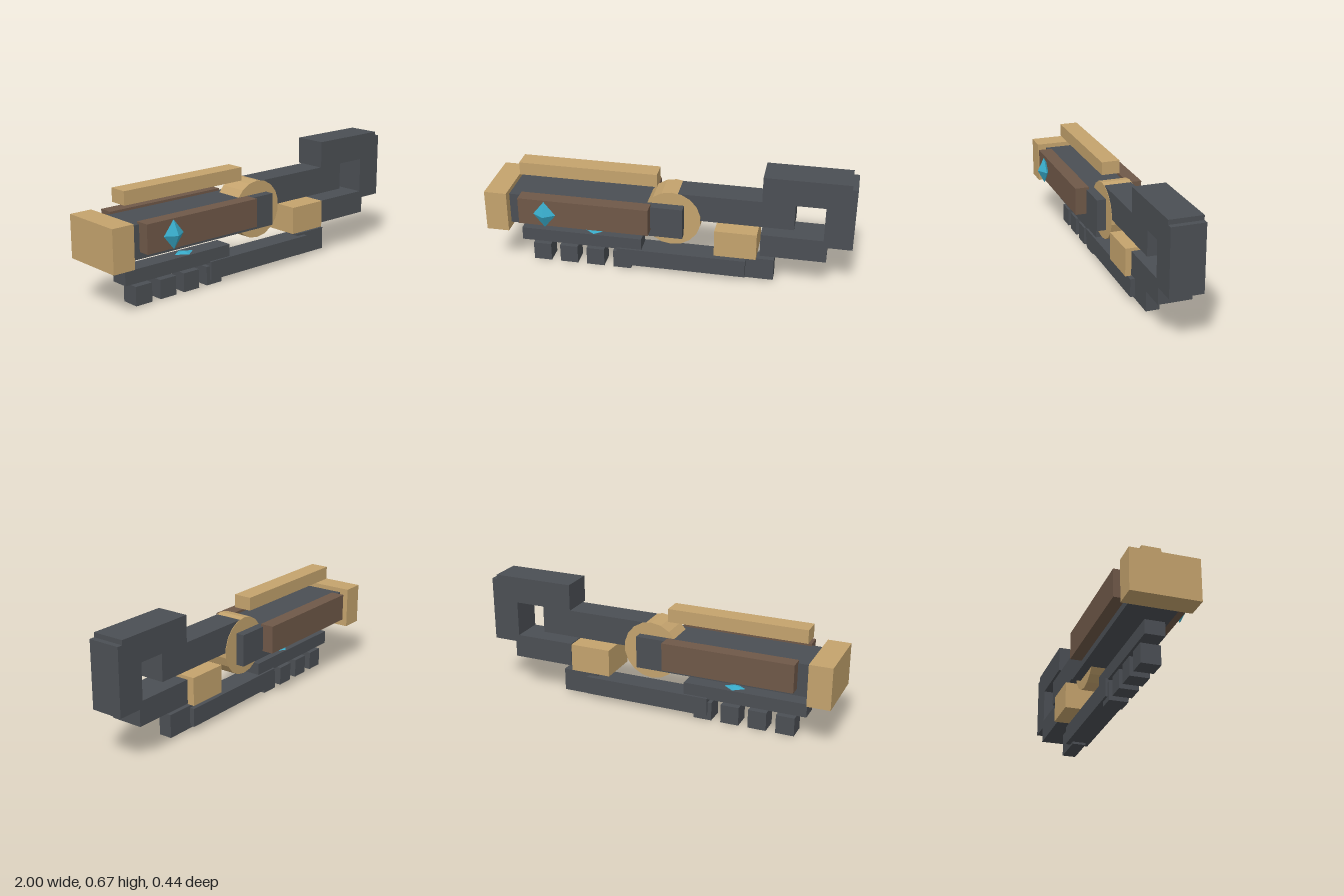
import * as THREE from 'three';

const mat = (name, color) => {
  const m = new THREE.MeshStandardMaterial({ color });
  m.name = name;
  m.flatShading = true;
  return m;
};

export function createModel() {
  const group = new THREE.Group();
  const steel = mat('dark steel', 0x4b4f54);
  const brass = mat('brass', 0xc4a36d);
  const wood = mat('brown wood', 0x6f5848);
  const crystal = mat('cyan crystal', 0x38aac8);

  const add = (name, geometry, material) => {
    const mesh = new THREE.Mesh(geometry, material);
    mesh.name = name;
    group.add(mesh);
    return mesh;
  };

  // Box given by its low and high limits on each axis
  const box = (name, material, x0, x1, y0, y1, z0, z1) =>
    add(name, new THREE.BoxGeometry(x1 - x0, y1 - y0, z1 - z0), material)
      .position.set((x0 + x1) / 2, (y0 + y1) / 2, (z0 + z1) / 2);

  // Main body, side panels, end cap and top rail
  box('body', steel, -0.875, 0.09, 0.275, 0.453, -0.154, 0.104);
  box('frontPanel', wood, -0.807, -0.085, 0.312, 0.466, 0.09, 0.168);
  box('backPanel', wood, -0.807, -0.085, 0.312, 0.466, -0.218, -0.14);
  box('endCap', brass, -1, -0.875, 0.248, 0.478, -0.206, 0.155);
  box('topRail', brass, -0.833, -0.064, 0.535, 0.608, -0.081, 0.022);

  // Round hinge and the arm leaving it
  const hinge = add('hinge', new THREE.CylinderGeometry(0.16, 0.16, 0.158, 18), brass);
  hinge.rotation.x = Math.PI / 2;
  hinge.position.set(0.022, 0.366, -0.027);
  box('arm', steel, 0.0, 0.685, 0.368, 0.52, -0.103, 0.05);

  // Hooked end
  box('hookTop', steel, 0.51, 0.97, 0.524, 0.672, -0.115, 0.065);
  box('hookBack', steel, 0.845, 1, 0.287, 0.647, -0.115, 0.065);
  box('hookBottom', steel, 0.51, 0.867, 0.196, 0.327, -0.115, 0.065);
  box('collar', brass, 0.263, 0.493, 0.183, 0.336, -0.141, 0.091);

  // Lower rail with four teeth
  box('lowerRail', steel, -0.845, -0.155, 0.122, 0.197, -0.077, 0.027);
  for (let i = 0; i < 4; i++) {
    const x = -0.783 + i * 0.155;
    box('tooth', steel, x, x + 0.102, 0, 0.104, -0.077, 0.027);
  }

  // Lower rod and its tip
  box('rod', steel, -0.295, 0.43, 0.028, 0.13, -0.089, 0.039);
  box('rodTip', steel, 0.378, 0.585, 0.015, 0.143, -0.062, 0.013);

  // Crystals: one on the front panel, a flat one on the lower rail
  const gem = (name, position, scale) => {
    const g = add(name, new THREE.OctahedronGeometry(1), crystal);
    g.position.set(...position);
    g.scale.set(...scale);
  };
  gem('frontCrystal', [-0.655, 0.389, 0.182], [0.062, 0.077, 0.039]);
  gem('railCrystal', [-0.43, 0.197, -0.025], [0.06, 0.012, 0.045]);

  return group;
}
